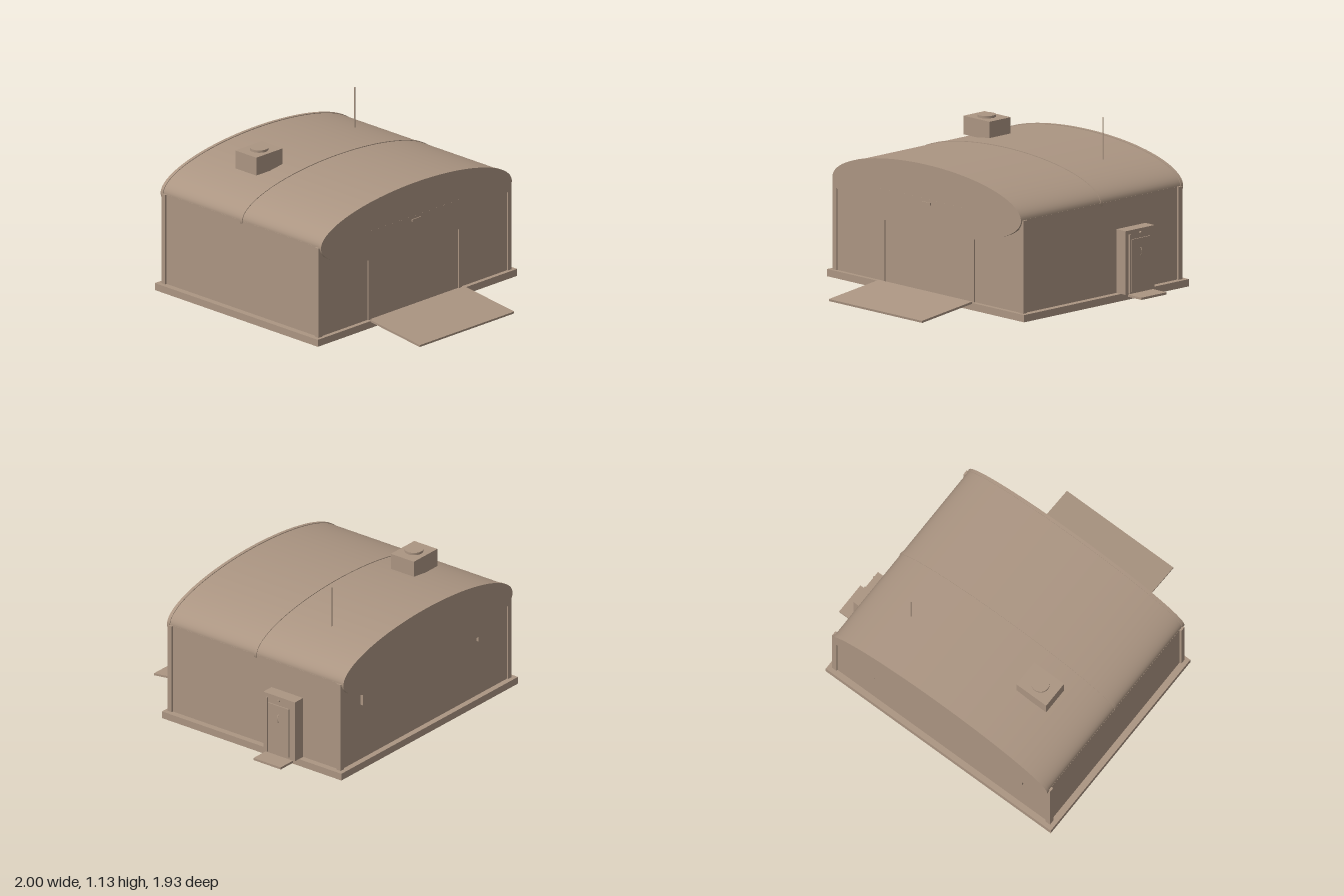
import * as THREE from 'three';

export function createModel() {
  const model = new THREE.Group();
  const tan = new THREE.MeshStandardMaterial({ color: 0xab9582 });
  tan.name = 'tan';
  const CX = -0.085; // centre line of the building

  const add = (name, geometry) => {
    const mesh = new THREE.Mesh(geometry, tan);
    mesh.name = name;
    model.add(mesh);
    return mesh;
  };
  // Box given by its extents on each axis
  const box = (name, x0, x1, y0, y1, z0, z1) => {
    const mesh = add(name, new THREE.BoxGeometry(x1 - x0, y1 - y0, z1 - z0));
    mesh.position.set((x0 + x1) / 2, (y0 + y1) / 2, (z0 + z1) / 2);
    return mesh;
  };
  // Elliptic drum lying along z
  const drum = (name, rx, ry, z0, z1) => {
    const g = new THREE.CylinderGeometry(1, 1, z1 - z0, 96);
    g.rotateX(Math.PI / 2);
    g.scale(rx, ry, 1);
    g.computeVertexNormals();
    // smooth the seam of the side
    const n = g.attributes.normal;
    n.setXYZ(0, 0, -1, 0); // replaced below for every side vertex
    const p = g.attributes.position;
    for (let i = 0; i < 97 * 2; i++) {
      const v = new THREE.Vector3(p.getX(i) / rx ** 2, p.getY(i) / ry ** 2, 0).normalize();
      n.setXYZ(i, v.x, v.y, 0);
    }
    add(name, g).position.set(CX, 0.675, (z0 + z1) / 2);
  };

  // Foundation and walls
  box('foundation', -1, 0.83, 0.012, 0.06, -0.965, 0.515);
  box('walls', CX - 0.872, CX + 0.872, 0.06, 0.675, -0.925, 0.485);

  // Corner posts
  for (const s of [-1, 1]) {
    const x = CX + s * 0.868;
    box('cornerPost', x - 0.0175, x + 0.0175, 0.06, 0.675, 0.458, 0.493);
    box('cornerPost', x - 0.0175, x + 0.0175, 0.06, 0.675, -0.935, -0.9);
  }

  // Vaulted roof with three ribs
  drum('roof', 0.871, 0.222, -0.947, 0.502);
  for (const z of [-0.94, -0.222, 0.494]) drum('roofRib', 0.876, 0.227, z - 0.011, z + 0.011);

  // Main door with jambs, header and lamp
  box('mainDoor', -0.49, 0.32, 0.06, 0.6, 0.48, 0.488);
  for (const x of [-0.5, 0.33]) box('doorJamb', x - 0.014, x + 0.014, 0.06, 0.66, 0.47, 0.495);
  box('doorHeader', -0.515, 0.345, 0.65, 0.675, 0.47, 0.5055);
  box('doorLamp', -0.13, -0.045, 0.64, 0.655, 0.495, 0.512);

  // Sloping entry ramp
  const side = new THREE.Shape([
    new THREE.Vector2(0.513, 0.055), new THREE.Vector2(0.963, 0),
    new THREE.Vector2(0.965, 0.014), new THREE.Vector2(0.515, 0.069),
  ]);
  const rampGeo = new THREE.ExtrudeGeometry(side, { depth: 0.866, bevelEnabled: false });
  rampGeo.rotateY(-Math.PI / 2); // profile now runs along z, depth along -x
  add('ramp', rampGeo).position.x = 0.348;

  // Side entrance: porch, door, rail, handle, lamp and step
  box('porch', 0.78, 0.873, 0.06, 0.482, -0.615, -0.355);
  box('sideDoor', 0.87, 0.881, 0.075, 0.42, -0.57, -0.4);
  box('doorRail', 0.87, 0.884, 0.065, 0.455, -0.393, -0.383);
  const handle = add('doorHandle', new THREE.TorusGeometry(0.025, 0.004, 8, 20, Math.PI));
  handle.rotation.z = -Math.PI / 2;
  handle.scale.y = 0.4;
  handle.scale.x = 1;
  handle.position.set(0.879, 0.33, -0.485);
  const lamp = add('sideLamp', new THREE.CylinderGeometry(0.008, 0.008, 0.016, 16));
  lamp.rotation.z = Math.PI / 2;
  lamp.position.set(0.877, 0.455, -0.485);
  box('sideStep', 0.873, 1, 0.045, 0.06, -0.6, -0.375);

  // Back vents
  for (const s of [-1, 1]) {
    const x = CX + s * 0.6;
    box('backVent', x - 0.065, x + 0.065, 0.45, 0.56, -0.943, -0.92);
  }

  // Rooftop unit with fan cap, and antenna
  box('roofUnit', -0.66, -0.417, 0.865, 0.988, -0.57, -0.38);
  add('fanCap', new THREE.CylinderGeometry(0.06, 0.06, 0.02, 32)).position.set(-0.54, 0.994, -0.473);
  add('antenna', new THREE.CylinderGeometry(0.004, 0.004, 0.3, 10)).position.set(0.438, 0.98, -0.573);

  return model;
}
